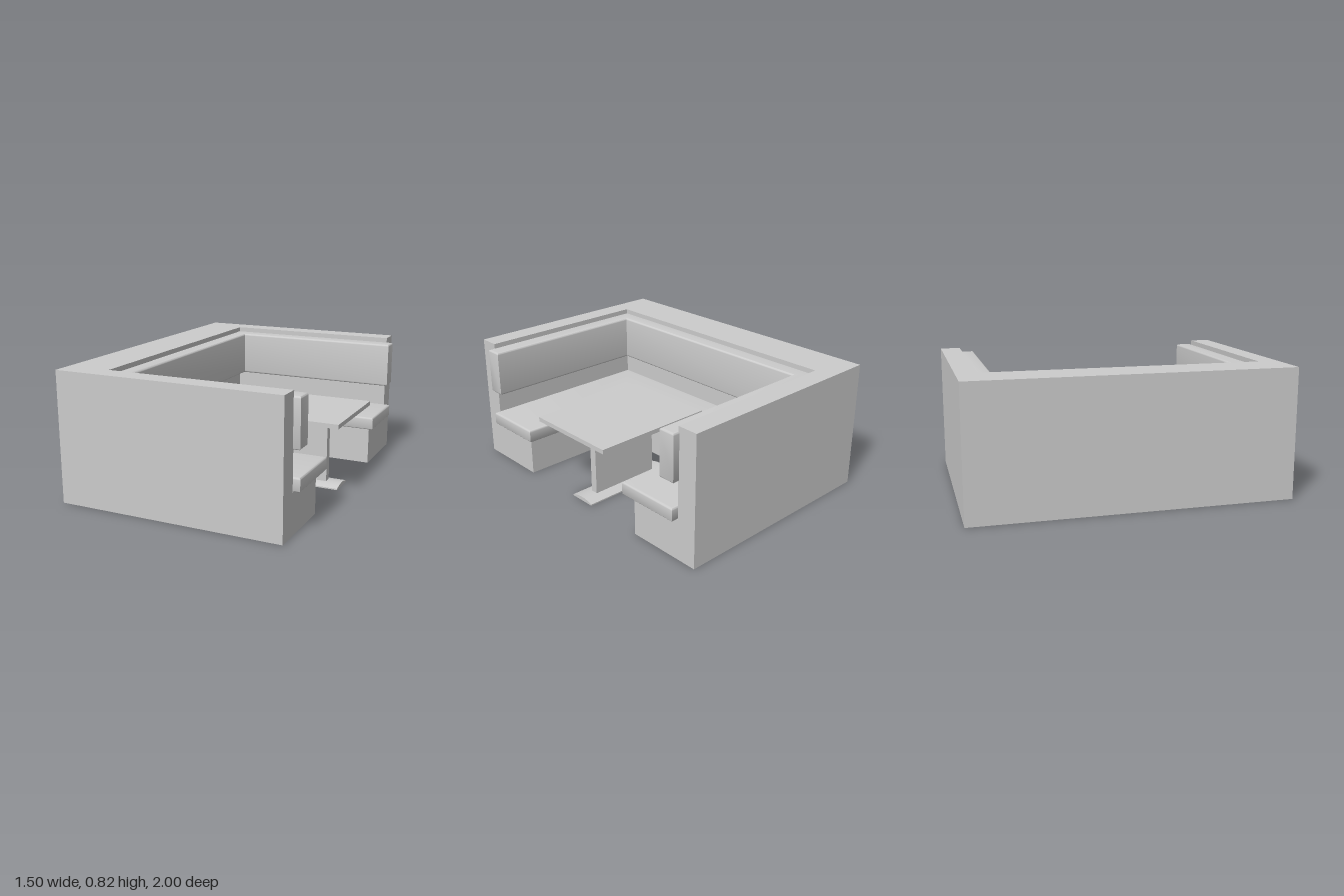
import * as THREE from 'three';
import { toCreasedNormals } from 'three/addons/utils/BufferGeometryUtils.js';

const material = new THREE.MeshStandardMaterial({ color: 0xcccccc });

function addMesh(group, name, geometry, x = 0, y = 0, z = 0) {
  const mesh = new THREE.Mesh(geometry, material);
  mesh.name = name;
  mesh.position.set(x, y, z);
  group.add(mesh);
  return mesh;
}

// U-shaped slab, open towards +x: back and inner are x positions,
// zOuter and zInner are the half widths of the U, bevel rounds its edges.
function uSlab({ back, inner, end, zOuter, zInner, y0, y1, bevel = 0 }) {
  const shape = new THREE.Shape([
    [back, -zOuter], [end, -zOuter], [end, -zInner], [inner, -zInner],
    [inner, zInner], [end, zInner], [end, zOuter], [back, zOuter],
  ].map(([x, z]) => new THREE.Vector2(x, z)));
  const geometry = new THREE.ExtrudeGeometry(shape, {
    depth: y1 - y0 - 2 * bevel,
    bevelEnabled: bevel > 0,
    bevelThickness: bevel,
    bevelSize: bevel,
    bevelOffset: -bevel,
    bevelSegments: 4,
  });
  geometry.rotateX(-Math.PI / 2).translate(0, y0 + bevel, 0);
  return toCreasedNormals(geometry, 0.7);
}

export function createModel() {
  const group = new THREE.Group();
  group.name = 'diningBooth';

  // Enclosing wall and the plinth under the bench
  addMesh(group, 'wall', uSlab({
    back: -0.75, inner: -0.47, end: 0.685, zOuter: 1, zInner: 0.87, y0: 0, y1: 0.82,
  }));
  addMesh(group, 'benchBase', uSlab({
    back: -0.47, inner: -0.1, end: 0.685, zOuter: 0.87, zInner: 0.515, y0: 0, y1: 0.255,
  }));

  // Upholstery
  addMesh(group, 'seatCushion', uSlab({
    back: -0.47, inner: -0.07, end: 0.727, zOuter: 0.867, zInner: 0.457, y0: 0.255, y1: 0.34, bevel: 0.013,
  }));
  addMesh(group, 'backCushion', uSlab({
    back: -0.48, inner: -0.38, end: 0.727, zOuter: 0.876, zInner: 0.77, y0: 0.495, y1: 0.79, bevel: 0.013,
  }));

  // Table on a flat pedestal
  const table = new THREE.Group();
  table.name = 'table';
  group.add(table);
  addMesh(table, 'tableTop', new THREE.BoxGeometry(0.815, 0.028, 0.626), 0.3375, 0.481, 0);
  addMesh(table, 'pedestal', new THREE.BoxGeometry(0.475, 0.457, 0.048), 0.3375, 0.2385, 0);

  // Foot plate with a gently arched top
  const profile = new THREE.Shape();
  profile.moveTo(-0.09, 0);
  profile.lineTo(0.09, 0);
  profile.lineTo(0.09, 0.008);
  profile.quadraticCurveTo(0, 0.042, -0.09, 0.008);
  profile.closePath();
  const foot = new THREE.ExtrudeGeometry(profile, { depth: 0.67, bevelEnabled: false, curveSegments: 8 });
  foot.rotateY(Math.PI / 2);
  addMesh(table, 'footPlate', toCreasedNormals(foot, 0.5), 0.0025, 0, 0);

  return group;
}
